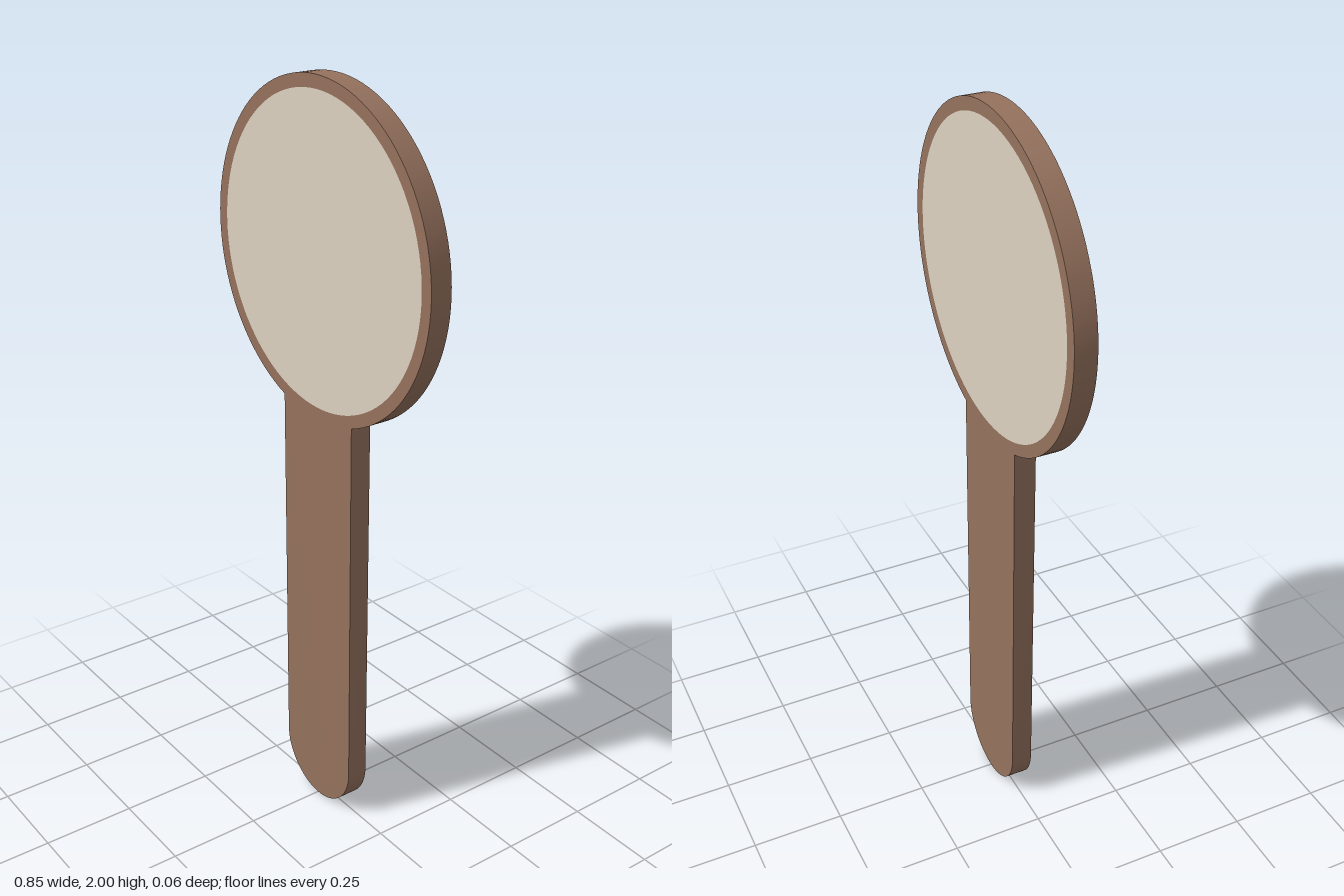
import * as THREE from 'three';
import { toCreasedNormals } from 'three/addons/utils/BufferGeometryUtils.js';

const DEPTH = 0.058;
const HEAD_R = 0.426;    // outer radius of the round head
const FACE_R = 0.393;    // radius of the pale inset face
const HEAD_Y = 2 - HEAD_R;
const GRIP_R = 0.142;    // half width of the handle and radius of its end

export function createModel() {
  const model = new THREE.Group();
  model.name = 'handMirror';

  // Frame: round head running into a straight handle with a rounded end
  const join = Math.asin(GRIP_R / HEAD_R);
  const outline = new THREE.Shape();
  outline.absarc(0, HEAD_Y, HEAD_R, -Math.PI / 2 + join, Math.PI * 1.5 - join, false);
  outline.absarc(0, GRIP_R, GRIP_R, Math.PI, Math.PI * 2, false);
  outline.closePath();

  // Opening for the face
  const opening = new THREE.Path();
  opening.absarc(0, HEAD_Y, FACE_R, 0, Math.PI * 2, true);
  outline.holes.push(opening);

  const frameGeometry = new THREE.ExtrudeGeometry(outline, {
    depth: DEPTH, bevelEnabled: false, curveSegments: 48,
  });
  frameGeometry.translate(0, 0, -DEPTH / 2);
  const frame = new THREE.Mesh(
    toCreasedNormals(frameGeometry, 0.5),
    new THREE.MeshStandardMaterial({ color: 0x96725e }),
  );
  frame.name = 'frameAndHandle';
  model.add(frame);

  // Pale disc, flush with the frame on front and back
  const faceGeometry = new THREE.CylinderGeometry(FACE_R, FACE_R, DEPTH, 96);
  faceGeometry.rotateX(Math.PI / 2);
  const face = new THREE.Mesh(
    faceGeometry,
    new THREE.MeshStandardMaterial({ color: 0xdcd2c0 }),
  );
  face.name = 'faceDisc';
  face.position.y = HEAD_Y;
  model.add(face);

  return model;
}
